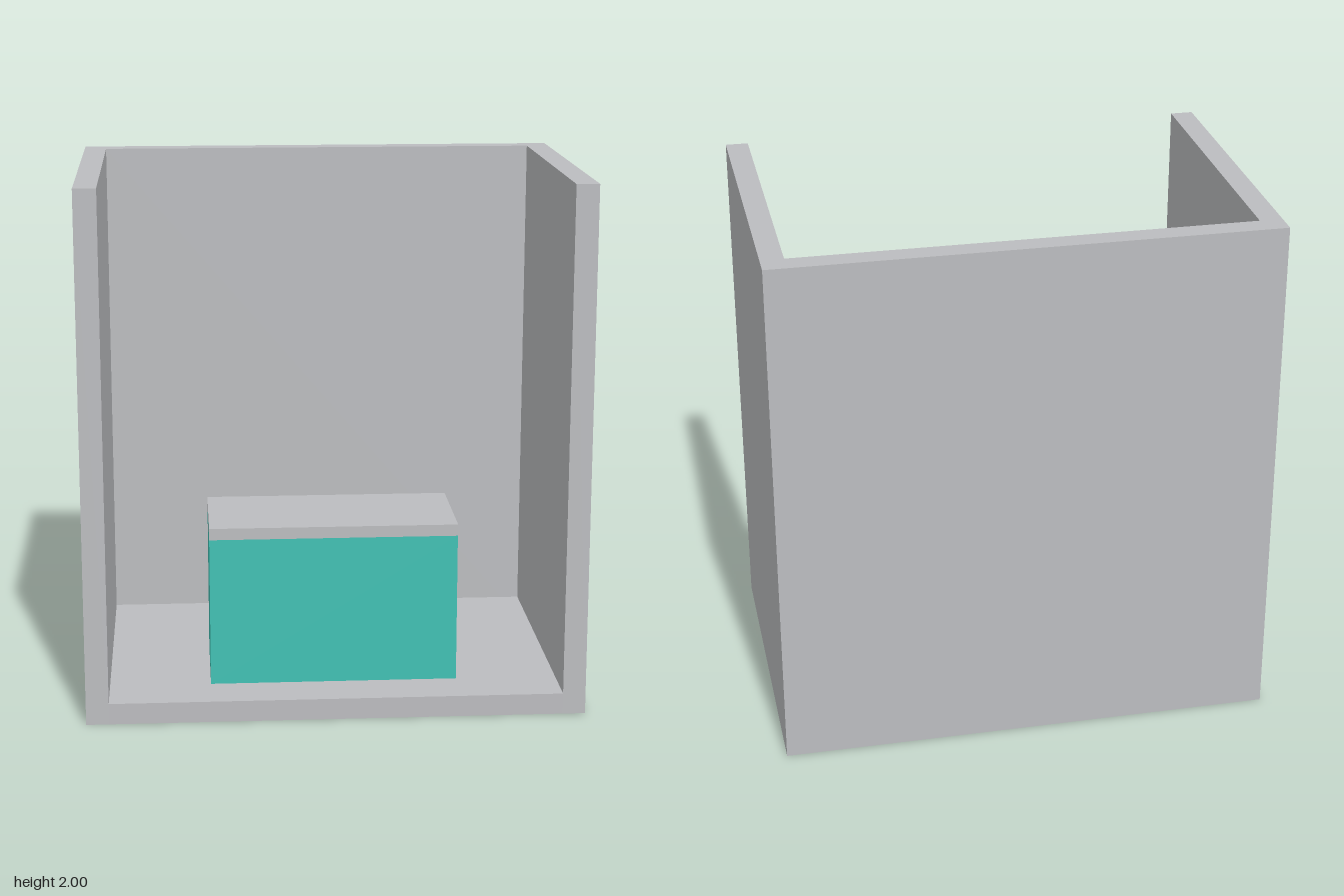
import * as THREE from 'three';

const W = 1.87, D = 1.25, H = 2, T = 0.085, FLOOR = 0.08;

export function createModel() {
  const model = new THREE.Group();
  model.name = 'openBooth';

  const grey = new THREE.MeshStandardMaterial({ color: 0xbcbdc0 });
  grey.name = 'light grey';
  const teal = new THREE.MeshStandardMaterial({ color: 0x41c1b4 });
  teal.name = 'teal';

  // Box given by its minimum and maximum corners
  function box(name, material, min, max, parent = model) {
    const size = max.map((v, i) => v - min[i]);
    const mesh = new THREE.Mesh(new THREE.BoxGeometry(...size), material);
    mesh.position.set(...max.map((v, i) => (v + min[i]) / 2));
    mesh.name = name;
    parent.add(mesh);
  }

  // Floor inside the walls
  box('floor', grey, [-W / 2 + T, 0, -D / 2 + T], [W / 2 - T, FLOOR, D / 2]);

  // U-shaped wall: back and two sides, open at the front and top
  const plan = new THREE.Shape([
    [-W / 2, -D / 2], [-W / 2 + T, -D / 2], [-W / 2 + T, D / 2 - T], [W / 2 - T, D / 2 - T],
    [W / 2 - T, -D / 2], [W / 2, -D / 2], [W / 2, D / 2], [-W / 2, D / 2],
  ].map(([x, y]) => new THREE.Vector2(x, y)));
  const wallGeometry = new THREE.ExtrudeGeometry(plan, { depth: H, bevelEnabled: false });
  wallGeometry.rotateX(-Math.PI / 2);
  const walls = new THREE.Mesh(wallGeometry, grey);
  walls.name = 'walls';
  model.add(walls);

  // Counter standing on the floor
  const counter = new THREE.Group();
  counter.name = 'counter';
  model.add(counter);
  box('counterBody', teal, [-0.468, FLOOR, -0.005], [0.468, 0.65, 0.435], counter);
  box('counterTop', grey, [-0.468, 0.65, -0.005], [0.468, 0.694, 0.44], counter);

  return model;
}
